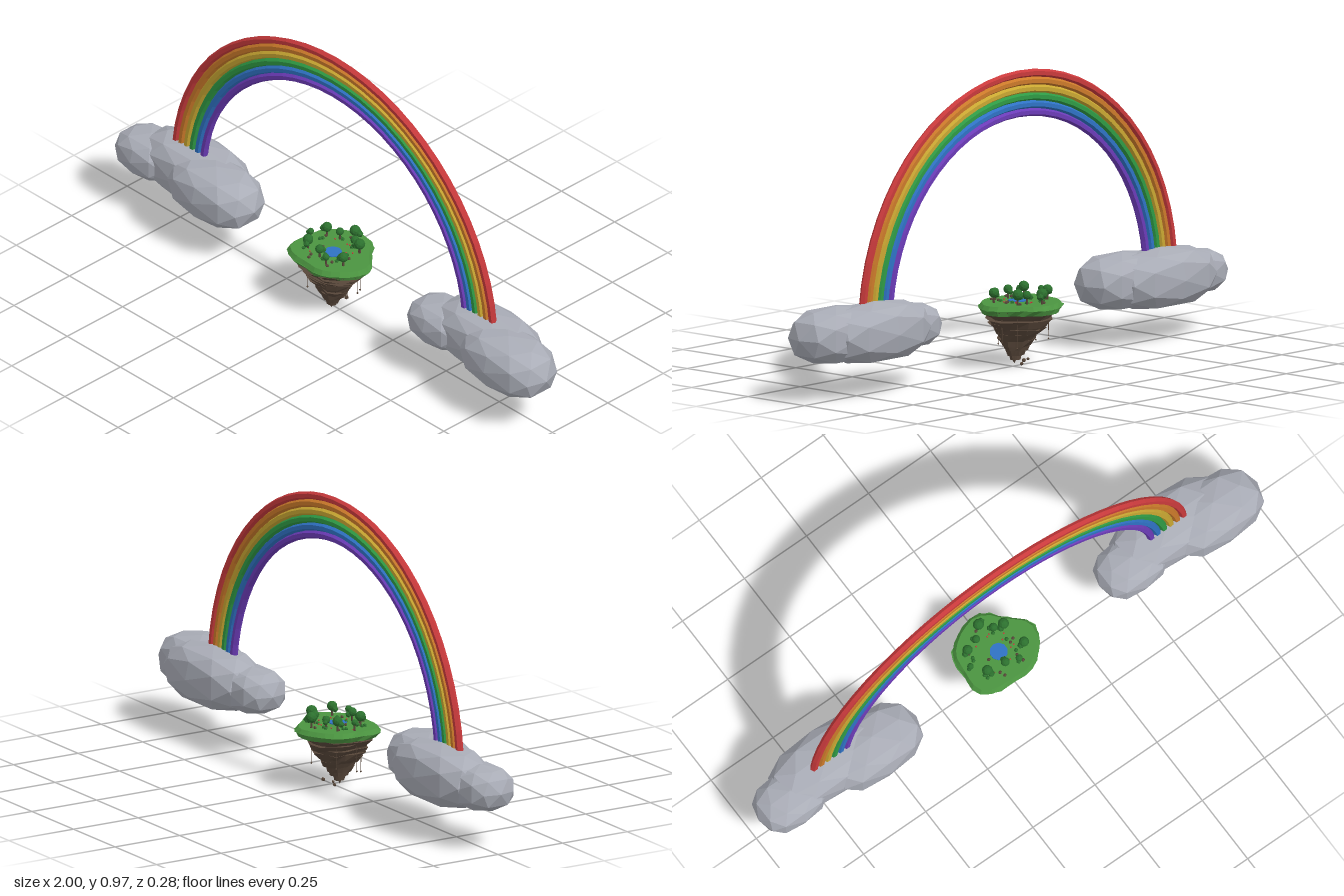
import * as THREE from 'three';

const mat = (name, color, flat = true) => {
  const m = new THREE.MeshStandardMaterial({ color, flatShading: flat });
  m.name = name;
  return m;
};

// small seeded random generator
function seeded(seed) {
  return () => {
    seed = (seed * 16807) % 2147483647;
    return seed / 2147483647;
  };
}

export function createModel() {
  const rnd = seeded(4321);
  const M = {
    red: mat('red', 0xc93a3c), orange: mat('orange', 0xcb7a2a), yellow: mat('yellow', 0xc9a732),
    green: mat('green', 0x2f9a45), blue: mat('blue', 0x2f72c4), violet: mat('violet', 0x6c3cb8),
    cloud: mat('cloud grey', 0xa9acb6), rock: mat('rock brown', 0x574639),
    grass: mat('grass green', 0x4b9440), leaf: mat('leaf green', 0x2c702e),
  };
  const model = new THREE.Group();
  model.name = 'rainbowIsland';

  const add = (parent, name, geo, material, x = 0, y = 0, z = 0) => {
    const mesh = new THREE.Mesh(geo, material);
    mesh.name = name;
    mesh.position.set(x, y, z);
    parent.add(mesh);
    return mesh;
  };

  // rainbow: six nested six-sided arches
  const rainbow = new THREE.Group();
  rainbow.name = 'rainbow';
  rainbow.position.set(-0.024, 0.213, 0);
  ['red', 'orange', 'yellow', 'green', 'blue', 'violet'].forEach((c, i) => {
    add(rainbow, c + 'Band', new THREE.TorusGeometry(0.749 - i * 0.0258, 0.013, 6, 32, Math.PI), M[c]);
  });
  model.add(rainbow);

  // clouds: squashed faceted blobs with flattened tops and bottoms
  const blob = (rx, ry, rz) => {
    const g = new THREE.IcosahedronGeometry(1, 1);
    const p = g.attributes.position;
    const sq = (v) => Math.sign(v) * Math.pow(Math.abs(v), 0.78);
    for (let i = 0; i < p.count; i++) {
      p.setXYZ(i, sq(p.getX(i)) * rx, sq(p.getY(i)) * ry, sq(p.getZ(i)) * rz);
    }
    g.computeVertexNormals();
    return g;
  };
  for (const side of [-1, 1]) {
    const cloud = new THREE.Group();
    cloud.name = side < 0 ? 'rightCloud' : 'leftCloud';
    cloud.position.set(side * 0.687, 0.2, 0);
    add(cloud, 'largePuff', blob(0.18, 0.094, 0.112), M.cloud, 0.133, 0.01, 0.026);
    add(cloud, 'middlePuff', blob(0.225, 0.1, 0.112), M.cloud, -0.005, 0.007, -0.018);
    add(cloud, 'smallPuff', blob(0.125, 0.074, 0.095), M.cloud, -0.188, 0, 0.012);
    model.add(cloud);
  }

  // floating island
  const island = new THREE.Group();
  island.name = 'floatingIsland';
  island.position.set(-0.032, 0, -0.005);
  model.add(island);

  // wavy outline shared by turf and rock
  const wave = (a) => 1 + 0.07 * Math.sin(3 * a + 0.6) + 0.05 * Math.sin(5 * a + 2);
  const ragged = (top, bottom, h, sides, jitter) => {
    const g = new THREE.CylinderGeometry(top, bottom, h, sides);
    const p = g.attributes.position;
    const noise = Array.from({ length: sides * 2 }, () => 1 + (rnd() - 0.5) * jitter);
    for (let i = 0; i < p.count; i++) {
      const x = p.getX(i), z = p.getZ(i), a = Math.atan2(z, x);
      const k = Math.round((a / (Math.PI * 2) + 1) * sides) % sides;
      const s = wave(a) * noise[k + (p.getY(i) > 0 ? sides : 0)];
      p.setX(i, x * s);
      p.setZ(i, z * s * 0.9);
    }
    g.computeVertexNormals();
    return g;
  };
  add(island, 'turfTop', ragged(0.135, 0.146, 0.014, 28, 0.03), M.grass, 0, 0.206);
  add(island, 'turfEdge', ragged(0.146, 0.134, 0.018, 28, 0.08), M.grass, 0, 0.19);

  // layered rock, each stratum overhanging the next
  const layers = 10;
  for (let i = 0; i < layers; i++) {
    const t = i / layers;
    const r = 0.132 * Math.pow(1 - t, 0.85) + 0.004;
    const rock = add(island, 'rockLayer', ragged(r, r * 0.78, 0.024, 14, 0.2), M.rock,
      t * 0.008, 0.182 - t * 0.168, t * 0.018);
    rock.rotation.set((rnd() - 0.5) * 0.12, 0, (rnd() - 0.5) * 0.12);
  }
  add(island, 'rockTip', new THREE.ConeGeometry(0.017, 0.03, 6).rotateX(Math.PI), M.rock, 0.008, 0.02, 0.02);

  // loose stones floating beneath
  [[0.0, 0.006, -0.005, 0.006], [0.022, 0.024, -0.035, 0.007], [-0.014, 0.022, -0.02, 0.005],
    [0.03, 0.04, 0.02, 0.005]].forEach(([x, y, z, r]) =>
    add(island, 'looseStone', new THREE.DodecahedronGeometry(r), M.rock, x, y, z));

  // hanging roots
  [[-0.095, 0.06, 0.02], [-0.073, 0.07, 0.05], [-0.08, 0.045, -0.05], [0.085, 0.05, 0.02],
    [0.07, 0.06, -0.05], [0.1, 0.04, -0.01]].forEach(([x, len, z]) => {
    add(island, 'hangingRoot', new THREE.CylinderGeometry(0.0016, 0.001, len + 0.05, 4), M.rock, x, 0.155 - len / 2, z);
    add(island, 'rootEnd', new THREE.OctahedronGeometry(0.004), M.rock, x, 0.13 - len, z);
  });

  // pond
  add(island, 'pond', new THREE.CylinderGeometry(0.03, 0.03, 0.003, 10), M.blue, 0.005, 0.2145, 0.01);

  // trees: short trunk with a clustered crown
  [[0, -0.095, 0.022], [-0.08, -0.045, 0.02], [0.068, -0.05, 0.022], [-0.07, 0.05, 0.021],
    [-0.005, 0.06, 0.018], [0.085, 0.04, 0.02], [-0.035, -0.06, 0.016], [0.035, -0.06, 0.017],
    [0.04, 0.075, 0.014], [-0.105, 0.005, 0.013]].forEach(([x, z, r]) => {
    const tree = new THREE.Group();
    tree.name = 'tree';
    tree.position.set(x, 0.21, z);
    tree.rotation.y = rnd() * 6;
    add(tree, 'trunk', new THREE.CylinderGeometry(0.003, 0.004, 0.03, 5), M.rock, 0, 0.015, 0);
    add(tree, 'crown', new THREE.IcosahedronGeometry(r * 0.85, 1), M.leaf, 0, 0.02 + r * 0.8, 0);
    add(tree, 'sideLeaves', new THREE.IcosahedronGeometry(r * 0.6, 0), M.leaf, r * 0.7, 0.02 + r * 0.4, 0);
    island.add(tree);
  });

  // scattered stones, flowers and bushes
  for (let i = 0; i < 30; i++) {
    const a = i * 2.4, d = 0.04 + rnd() * 0.075;
    const [name, m, r] = [['stone', M.rock, 0.006], ['bush', M.leaf, 0.007], ['flower', M.red, 0.003]][i % 3];
    add(island, name, new THREE.DodecahedronGeometry(r), m, Math.cos(a) * d, 0.215, Math.sin(a) * d * 0.88);
  }
  return model;
}
